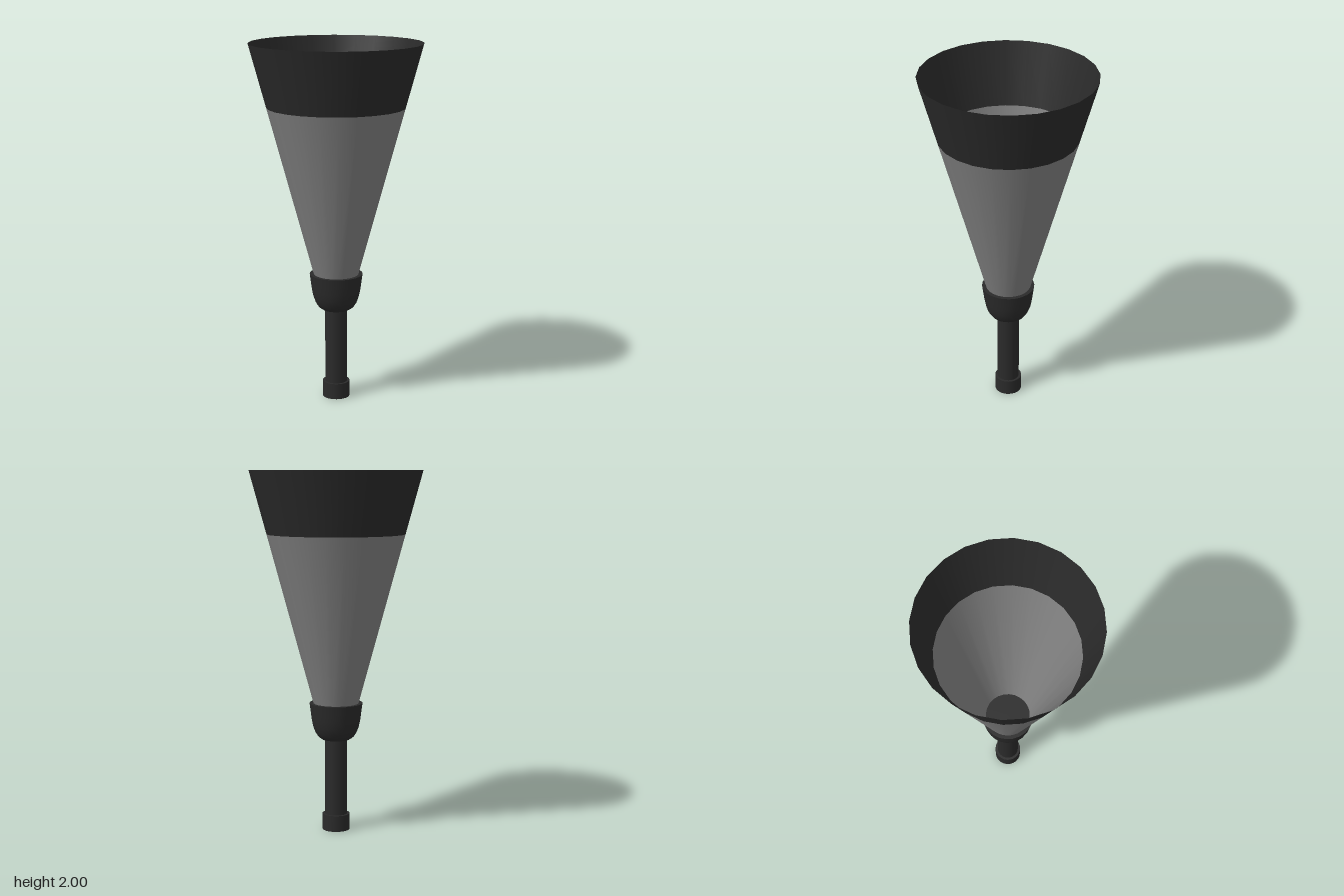
import * as THREE from 'three';

const SIDES = 24;

export function createModel() {
  const model = new THREE.Group();
  model.name = 'funnelHorn';

  const black = new THREE.MeshStandardMaterial({ color: 0x2a2a2a, side: THREE.DoubleSide });
  black.name = 'matte black';
  const grey = new THREE.MeshStandardMaterial({ color: 0x808080, side: THREE.DoubleSide });
  grey.name = 'mid grey';

  const add = (name, geometry, material) => {
    const mesh = new THREE.Mesh(geometry, material);
    mesh.name = name;
    model.add(mesh);
    return mesh;
  };
  // Tapered round section from y0 to y1
  const section = (name, y0, y1, r0, r1, material, open) => {
    const geometry = new THREE.CylinderGeometry(r1, r0, y1 - y0, SIDES, 1, open);
    add(name, geometry.translate(0, (y0 + y1) / 2, 0), material);
  };

  // Stem and its foot
  section('foot', 0, 0.09, 0.076, 0.076, black, false);
  section('stem', 0.09, 0.53, 0.062, 0.062, black, true);

  // Rounded cup holding the cone, closed above and below
  const profile = [
    [0.078, 0.516], [0.098, 0.53], [0.115, 0.555], [0.128, 0.59],
    [0.136, 0.63], [0.142, 0.675], [0.148, 0.72],
  ].map(([r, y]) => new THREE.Vector2(r, y));
  add('cup', new THREE.LatheGeometry(profile, SIDES), black);
  const disc = (name, r, y, turn) =>
    add(name, new THREE.CircleGeometry(r, SIDES).rotateX(turn).translate(0, y, 0), black);
  disc('cupTop', 0.148, 0.72, -Math.PI / 2);
  disc('cupBottom', 0.078, 0.516, Math.PI / 2);

  // Thin open cone with a dark mouth band
  section('cone', 0.72, 1.655, 0.126, 0.38, grey, true);
  section('mouthBand', 1.655, 2, 0.38, 0.474, black, true);

  return model;
}
